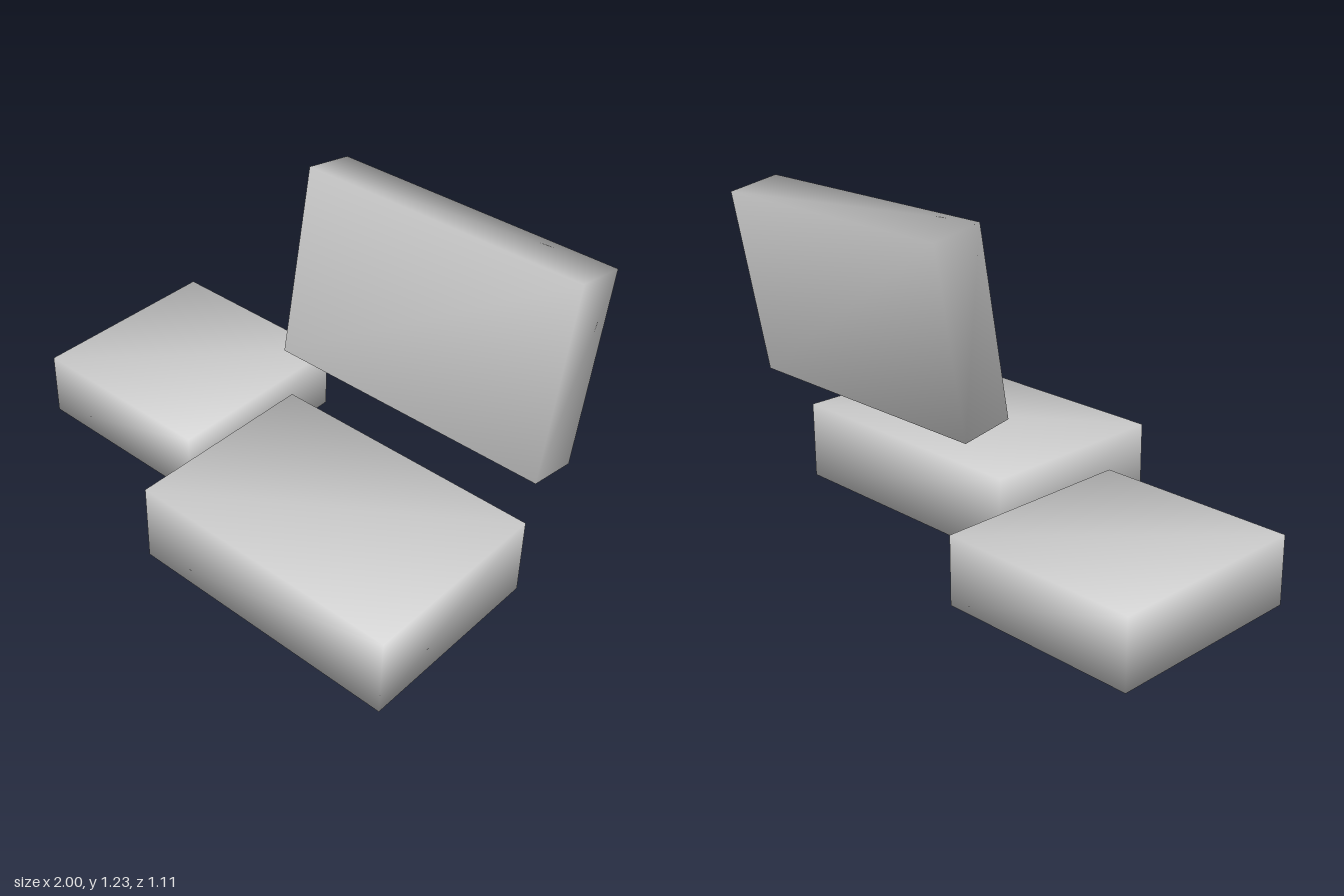
import * as THREE from 'three';
import { mergeVertices } from 'three/addons/utils/BufferGeometryUtils.js';

const material = new THREE.MeshStandardMaterial({ color: 0xcccccc });

// Box whose corners are shared, so shading runs smoothly across its edges
function softBox(name, size, centre) {
  const box = new THREE.BoxGeometry(...size);
  box.deleteAttribute('normal');
  box.deleteAttribute('uv');
  const geometry = mergeVertices(box);
  geometry.computeVertexNormals();
  const mesh = new THREE.Mesh(geometry, material);
  mesh.name = name;
  mesh.position.set(...centre);
  return mesh;
}

export function createModel() {
  const group = new THREE.Group();
  group.name = 'cushions';

  // Two blocks lying on the ground
  const sideCushion = softBox('sideCushion', [0.765, 0.255, 0.775], [-0.6175, 0.1275, -0.1675]);
  const seatCushion = softBox('seatCushion', [1.065, 0.303, 0.755], [0.4305, 0.1515, 0.1775]);

  // Raised block leaning backwards
  const backCushion = softBox('backCushion', [1.11, 0.72, 0.203], [0.445, 0.856, -0.3275]);
  backCushion.rotation.x = THREE.MathUtils.degToRad(-10);

  group.add(sideCushion, seatCushion, backCushion);
  return group;
}
